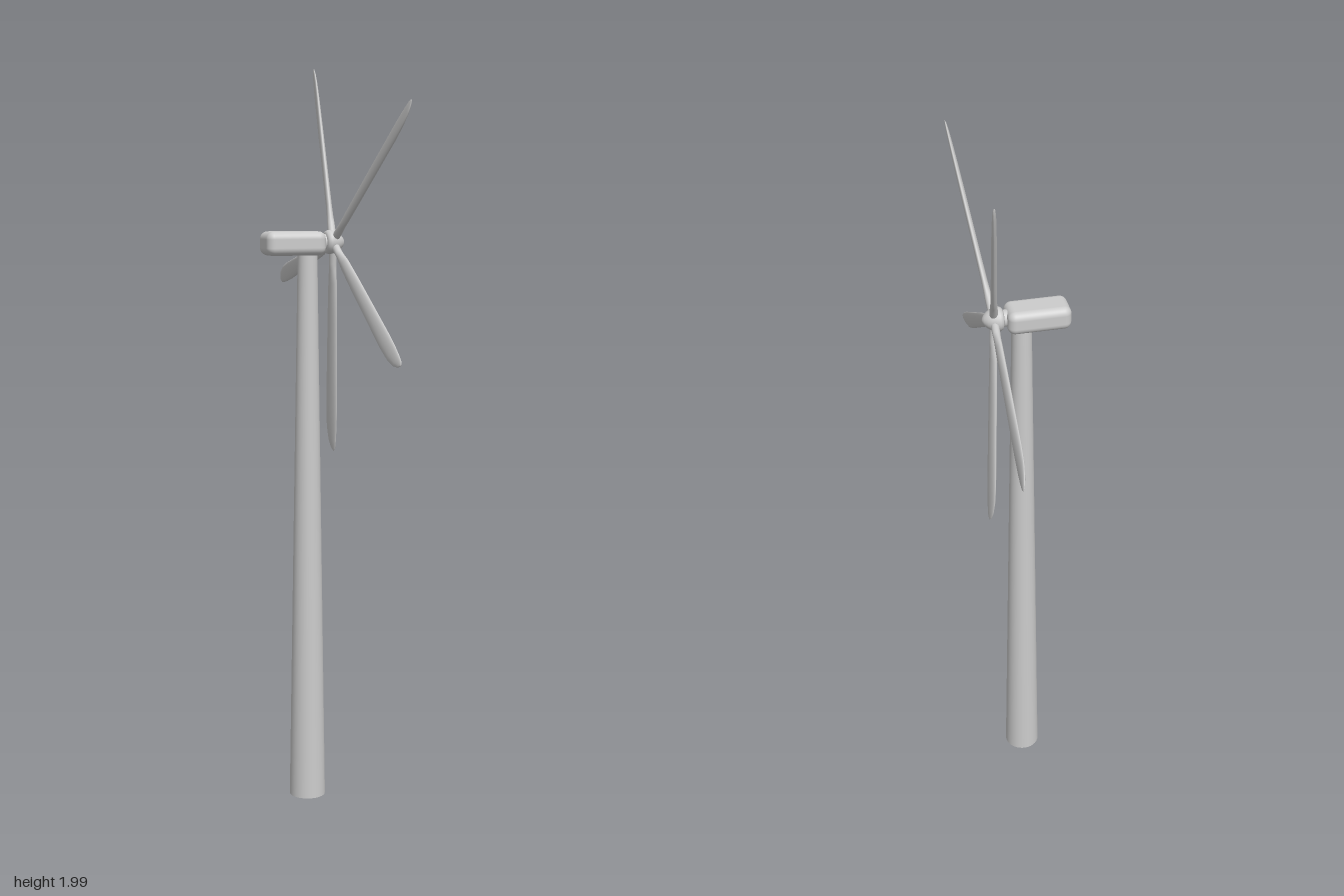
import * as THREE from 'three';
import { RoundedBoxGeometry } from 'three/addons/geometries/RoundedBoxGeometry.js';

const material = new THREE.MeshStandardMaterial({ color: 0xcccccc });
const AXIS_Z = 0.036;
const hubCentre = new THREE.Vector3(0.065, 1.524, AXIS_Z);

// Blade stations: [fraction of length, half chord, half thickness, chord offset]
const STATIONS = [
  [0, 0.011, 0.011, 0], [0.1, 0.011, 0.01, 0], [0.13, 0.012, 0.009, 0],
  [0.19, 0.017, 0.008, 0], [0.35, 0.02, 0.0075, 0], [0.6, 0.0225, 0.007, 0],
  [0.8, 0.0245, 0.006, 0], [0.89, 0.0225, 0.005, 0.001], [0.95, 0.017, 0.004, 0.004],
  [0.985, 0.01, 0.0025, 0.008], [1, 0.001, 0.0005, 0.01],
];

function addMesh(parent, name, geometry) {
  const mesh = new THREE.Mesh(geometry, material);
  mesh.name = name;
  parent.add(mesh);
  return mesh;
}

// Loft of oval sections along +y, chord along x, thickness along z
function bladeGeometry(length) {
  const sides = 16;
  const positions = [], index = [];
  for (const [t, chord, thick, offset] of STATIONS) {
    for (let j = 0; j < sides; j++) {
      const a = (j / sides) * Math.PI * 2;
      positions.push(offset + chord * Math.cos(a), t * length, thick * Math.sin(a));
    }
  }
  for (let i = 0; i < STATIONS.length - 1; i++) {
    for (let j = 0; j < sides; j++) {
      const k = (j + 1) % sides;
      const a = i * sides + j, b = i * sides + k;
      index.push(a, a + sides, b, b, a + sides, b + sides);
    }
  }
  // close the tip
  const last = (STATIONS.length - 1) * sides;
  for (let j = 1; j < sides - 1; j++) index.push(last, last + j + 1, last + j);
  const geometry = new THREE.BufferGeometry();
  geometry.setAttribute('position', new THREE.Float32BufferAttribute(positions, 3));
  geometry.setIndex(index);
  geometry.computeVertexNormals();
  return geometry;
}

// Point a blade from the hub centre to its tip, pitched about its own length
function addBlade(parent, tip) {
  const span = new THREE.Vector3(...tip).sub(hubCentre);
  const length = span.length();
  const along = span.normalize();
  const chord = new THREE.Vector3().crossVectors(along, new THREE.Vector3(1, 0, 0)).normalize();
  const face = new THREE.Vector3().crossVectors(chord, along);
  const blade = addMesh(parent, 'blade', bladeGeometry(length));
  blade.quaternion.setFromRotationMatrix(new THREE.Matrix4().makeBasis(chord, along, face));
  blade.rotateY(-0.24 * Math.sign(face.x));
  blade.position.copy(hubCentre);
}

export function createModel() {
  const model = new THREE.Group();
  model.name = 'windTurbine';

  // Tapered tower
  const tower = addMesh(model, 'tower', new THREE.CylinderGeometry(0.026, 0.049, 1.51, 32));
  tower.position.set(-0.007, 0.755, AXIS_Z);

  // Rounded housing behind the rotor
  const nacelle = addMesh(model, 'nacelle', new RoundedBoxGeometry(0.165, 0.063, 0.087, 5, 0.02));
  nacelle.position.set(-0.048, 1.522, AXIS_Z);

  const rotor = new THREE.Group();
  rotor.name = 'rotor';
  model.add(rotor);

  // Short shaft joining housing and hub
  const shaft = addMesh(rotor, 'shaft', new THREE.CylinderGeometry(0.022, 0.022, 0.03, 24));
  shaft.rotation.z = -Math.PI / 2;
  shaft.position.set(0.035, hubCentre.y, AXIS_Z);

  // Spinner with a blunt nose, turned about the shaft
  const profile = [[0, -0.024], [0.022, -0.024], [0.029, -0.02], [0.032, -0.013], [0.031, -0.004],
    [0.027, 0.008], [0.021, 0.018], [0.013, 0.026], [0.006, 0.03], [0, 0.031]];
  const hub = addMesh(rotor, 'hub', new THREE.LatheGeometry(profile.map(p => new THREE.Vector2(...p)), 32));
  hub.rotation.z = -Math.PI / 2;
  hub.position.copy(hubCentre);

  // Five blades, given by their tips
  const tips = [
    [0.121, 1.998, -0.262], [0.106, 1.402, -0.508], [0.097, 0.948, -0.055],
    [0.055, 1.235, 0.508], [0.1, 1.868, 0.466],
  ];
  tips.forEach(tip => addBlade(rotor, tip));

  return model;
}
